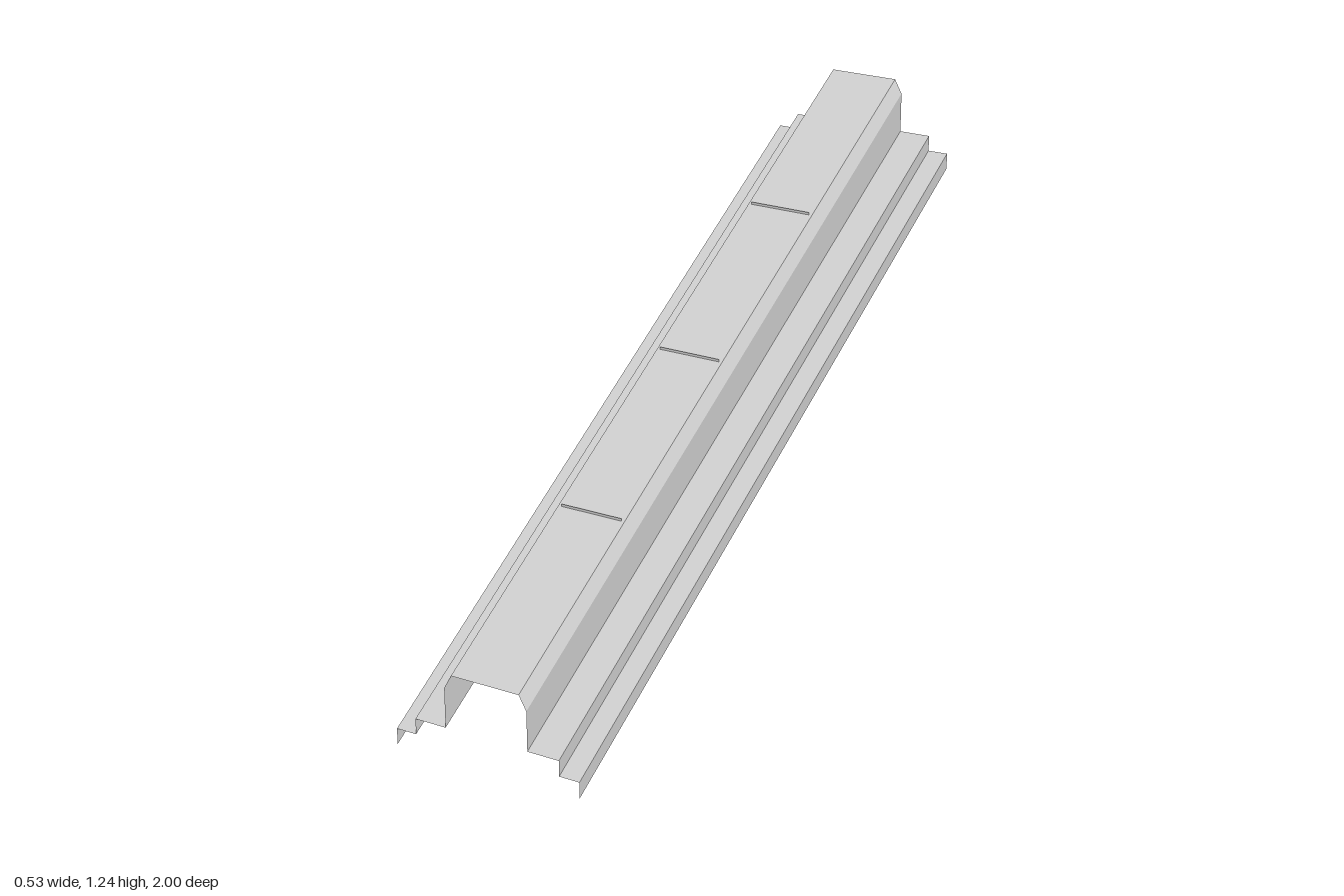
import * as THREE from 'three';

const RISE = 1.0;      // height gained from front (z = 1) to back (z = -1)
const CENTRE_X = -0.002;
const lift = (z) => RISE * (1 - z) / 2;

// Half cross-section at the front end, from the outer skirt to the roof edge.
const half = [
  [0.264, 0.004], [0.264, 0.048], [0.207, 0.048], [0.207, 0.091],
  [0.118, 0.091], [0.118, 0.201], [0.097, 0.24],
];
const names = ['outerSkirt', 'lowerLedge', 'ledgeRiser', 'upperLedge', 'sideWall', 'roofBevel'];

// One inclined sheet running the full length between two profile points.
function strip(a, b, material, name) {
  const corner = ([x, y], z) => [x, y + lift(z), z];
  const af = corner(a, 1), bf = corner(b, 1), bb = corner(b, -1), ab = corner(a, -1);
  const g = new THREE.BufferGeometry();
  g.setAttribute('position', new THREE.Float32BufferAttribute(
    [af, bf, bb, af, bb, ab].flat(), 3));
  g.computeVertexNormals();
  const mesh = new THREE.Mesh(g, material);
  mesh.name = name;
  return mesh;
}

export function createModel() {
  const group = new THREE.Group();
  group.name = 'inclinedChannel';
  const grey = new THREE.MeshStandardMaterial({ color: 0xcccccc, side: THREE.DoubleSide });
  grey.name = 'light grey';

  // Stepped sides, mirrored
  const mirror = ([x, y]) => [-x, y];
  names.forEach((name, i) => {
    group.add(strip(mirror(half[i]), mirror(half[i + 1]), grey, name + 'Right'));
    group.add(strip(half[i + 1], half[i], grey, name + 'Left'));
  });

  // Flat roof
  const edge = half[half.length - 1];
  group.add(strip(mirror(edge), edge, grey, 'roof'));

  // Thin upright cleats across the roof
  for (const z of [-0.5, 0, 0.5]) {
    const cleat = new THREE.Mesh(new THREE.PlaneGeometry(0.176, 0.012), grey);
    cleat.name = 'cleat';
    cleat.position.set(0, edge[1] + lift(z) + 0.001, z);
    group.add(cleat);
  }

  group.position.x = CENTRE_X;
  const root = new THREE.Group();
  root.add(group);
  return root;
}
